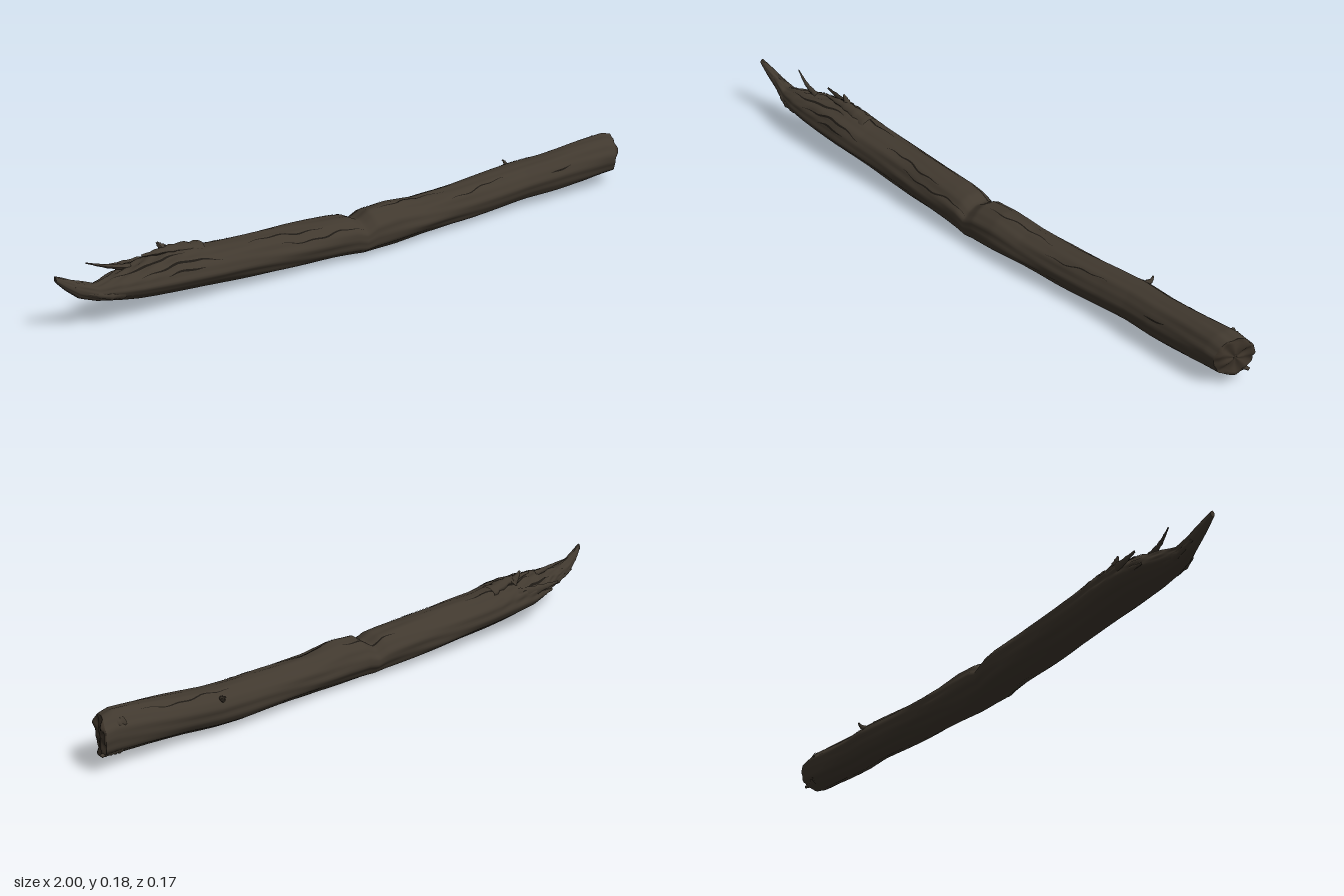
import * as THREE from 'three';

const bark = new THREE.MeshStandardMaterial({ color: 0x41392f });
bark.name = 'dark brown bark';
const endWood = new THREE.MeshStandardMaterial({ color: 0x3c3329 });
endWood.name = 'weathered end wood';
const crevice = new THREE.MeshStandardMaterial({ color: 0x1d1914, side: THREE.DoubleSide });
crevice.name = 'deep crevice';

const SIDES = 56;

// Stations along the log: x, bottom y, top y, back z, front z
const stations = [
  [-1.0, 0.168, 0.186, 0.0, 0.014],
  [-0.97, 0.135, 0.17, -0.01, 0.016],
  [-0.93, 0.1, 0.15, -0.018, 0.018],
  [-0.88, 0.083, 0.132, -0.022, 0.034],
  [-0.82, 0.072, 0.143, -0.042, 0.052],
  [-0.76, 0.061, 0.15, -0.066, 0.06],
  [-0.7, 0.053, 0.155, -0.08, 0.063],
  [-0.6, 0.043, 0.157, -0.083, 0.066],
  [-0.5, 0.035, 0.146, -0.08, 0.065],
  [-0.3, 0.021, 0.14, -0.073, 0.066],
  [-0.1, 0.013, 0.133, -0.065, 0.075],
  [-0.05, 0.011, 0.128, -0.061, 0.079],
  [-0.015, 0.009, 0.11, -0.057, 0.081],
  [0.02, 0.009, 0.131, -0.055, 0.082],
  [0.1, 0.01, 0.137, -0.052, 0.084],
  [0.2, 0.016, 0.125, -0.052, 0.08],
  [0.35, 0.016, 0.128, -0.053, 0.072],
  [0.5, 0.018, 0.134, -0.057, 0.064],
  [0.6, 0.024, 0.139, -0.059, 0.065],
  [0.7, 0.029, 0.146, -0.047, 0.074],
  [0.85, 0.036, 0.16, -0.038, 0.077],
  [0.93, 0.04, 0.166, -0.036, 0.077],
  [0.965, 0.041, 0.158, -0.034, 0.075],
];

function section(x) {
  let i = 0;
  while (i < stations.length - 2 && x > stations[i + 1][0]) i++;
  const a = stations[i], b = stations[i + 1];
  const t = THREE.MathUtils.clamp((x - a[0]) / (b[0] - a[0]), 0, 1);
  return a.map((v, k) => THREE.MathUtils.lerp(v, b[k], t));
}

// Bark ridges run along the log; the broken end is rougher on top
function roughness(x, a) {
  const ragged = THREE.MathUtils.smoothstep(-x, 0.45, 0.75) * Math.max(0, Math.cos(a + 0.3));
  const ridges = 0.022 * Math.sin(7 * a + 5 * x + 1.5 * Math.sin(4 * x))
    + 0.016 * Math.sin(13 * a - 9 * x + Math.sin(11 * x))
    + 0.014 * Math.sin(3 * a + 17 * x);
  const tears = 0.08 * Math.sin(9 * a + 31 * x) * Math.sin(53 * x + 2 * a);
  return 1 + ridges + ragged * tears;
}

// Point on the log; angle 0 is the top and a quarter turn is the front
function surface(x, a, shrink = 1, lift = 0) {
  const [, y0, y1, z0, z1] = section(x);
  const r = shrink * roughness(x, a);
  const c = Math.cos(a), s = Math.sin(a);
  const y = (y0 + y1) / 2 + c * ((y1 - y0) / 2 * r + lift);
  const dz = s * ((z1 - z0) / 2 * r + lift);
  const slant = THREE.MathUtils.smoothstep(x, 0.8, 0.965);
  return new THREE.Vector3(x - slant * dz * 0.45, y, (z0 + z1) / 2 + dz);
}

const ring = (fn) => Array.from({ length: SIDES }, (_, j) => fn(j / SIDES * Math.PI * 2));

// Joins rings of equal size, ordered along +x, into one smooth skin
function loft(rings) {
  const n = rings[0].length, index = [];
  for (let i = 0; i < rings.length - 1; i++) {
    for (let j = 0; j < n; j++) {
      const k = (j + 1) % n, a = i * n, b = a + n;
      index.push(a + j, a + k, b + j, a + k, b + k, b + j);
    }
  }
  const geo = new THREE.BufferGeometry().setFromPoints(rings.flat());
  geo.setIndex(index);
  geo.computeVertexNormals();
  return geo;
}

// Tapered, bent sliver of wood following a few points
function sliver(points, radius, flat = 1) {
  const curve = new THREE.CatmullRomCurve3(points.map(p => new THREE.Vector3(...p)));
  const steps = 12, sides = 9;
  const geo = new THREE.TubeGeometry(curve, steps, 1, sides);
  const pos = geo.attributes.position, v = new THREE.Vector3();
  for (let i = 0; i <= steps; i++) {
    const c = curve.getPointAt(i / steps);
    const r = radius * (1 - 0.85 * (i / steps)) * (1 + 0.15 * Math.sin(i * 2.3));
    for (let j = 0; j <= sides; j++) {
      const k = i * (sides + 1) + j;
      v.fromBufferAttribute(pos, k).sub(c).multiplyScalar(r);
      v.z *= flat;
      v.add(c);
      pos.setXYZ(k, v.x, v.y, v.z);
    }
  }
  geo.computeVertexNormals();
  return geo;
}

// Narrow dark strip lying on the bark
function crack(x0, x1, angle, width) {
  const pts = [], index = [], n = 24;
  for (let i = 0; i <= n; i++) {
    const t = i / n, x = x0 + (x1 - x0) * t;
    const a = angle + 0.09 * Math.sin(x * 23) + 0.04 * Math.sin(x * 71);
    const w = width * Math.sin(Math.PI * t) + 0.004;
    pts.push(surface(x, a - w, 1, 0.0015), surface(x, a + w, 1, 0.0015));
    if (i < n) index.push(2 * i, 2 * i + 1, 2 * i + 2, 2 * i + 1, 2 * i + 3, 2 * i + 2);
  }
  const geo = new THREE.BufferGeometry().setFromPoints(pts);
  geo.setIndex(index);
  geo.computeVertexNormals();
  return geo;
}

export function createModel() {
  const group = new THREE.Group();
  const add = (name, geo, mat) => {
    const mesh = new THREE.Mesh(geo, mat);
    mesh.name = name;
    group.add(mesh);
  };

  // Main trunk
  const trunk = [];
  for (let i = 0; i <= 260; i++) {
    const x = -1 + 1.965 * i / 260;
    trunk.push(ring(a => surface(x, a)));
  }
  add('trunk', loft(trunk), bark);

  // Uneven sawn end, and the closed tip at the broken end
  const cap = [1, 0.94, 0.8, 0.6, 0.4, 0.2, 0.001].map((s, i) => ring(a => {
    const p = surface(0.965, a, s);
    p.x += i === 0 ? 0 : s * (0.006 * Math.sin(3 * a + 5 * s) + 0.004 * Math.sin(7 * a)) + 0.004;
    return p;
  }));
  add('sawnEnd', loft(cap), endWood);
  add('brokenTip', loft([ring(a => surface(-1, a, 0.001)), ring(a => surface(-1, a))]), endWood);

  // Torn slivers at the broken end, a chip at the sawn end and a small twig stub
  const slivers = [
    ['tipSplinter', [[-0.9, 0.12, 0.0], [-0.95, 0.145, 0.005], [-0.985, 0.168, 0.0]], 0.018],
    ['longSplinter', [[-0.76, 0.145, -0.012], [-0.82, 0.158, -0.022], [-0.88, 0.176, -0.042]], 0.01],
    ['frontSplinter', [[-0.78, 0.1, 0.03], [-0.85, 0.1, 0.035], [-0.91, 0.115, 0.022]], 0.022],
    ['lowSplinter', [[-0.8, 0.1, -0.015], [-0.87, 0.1, -0.012], [-0.94, 0.12, -0.014]], 0.022],
    ['backFlap', [[-0.62, 0.118, -0.062], [-0.71, 0.123, -0.074], [-0.79, 0.13, -0.084]], 0.024, 0.5],
    ['backLowFlap', [[-0.65, 0.095, -0.06], [-0.73, 0.098, -0.066], [-0.79, 0.1, -0.062]], 0.022, 0.6],
    ['topHump', [[-0.53, 0.14, -0.02], [-0.61, 0.158, -0.022], [-0.72, 0.163, -0.02]], 0.02, 1.5],
    ['topShard', [[-0.63, 0.15, -0.03], [-0.65, 0.172, -0.035], [-0.66, 0.185, -0.036]], 0.018],
    ['endChip', [[0.93, 0.065, 0.0], [0.965, 0.06, -0.005], [0.995, 0.055, -0.012]], 0.02, 1.4],
    ['endTopChip', [[0.92, 0.135, -0.008], [0.955, 0.13, -0.015], [0.985, 0.125, -0.022]], 0.02, 1.2],
    ['twigStub', [[0.59, 0.11, -0.04], [0.6, 0.122, -0.056], [0.597, 0.13, -0.067]], 0.012],
  ];
  for (const [name, pts, r, flat] of slivers) add(name, sliver(pts, r, flat), bark);

  // Cracks: start x, end x, angle round the log, half width in radians
  const cracks = [
    [-0.84, -0.6, 0.35, 0.06], [-0.76, -0.5, 0.85, 0.05], [-0.72, -0.42, -0.35, 0.05],
    [-0.8, -0.62, -0.9, 0.07], [-0.68, -0.56, 1.25, 0.05], [-0.4, -0.15, 0.5, 0.035],
    [-0.3, -0.02, 0.95, 0.035], [-0.1, 0.1, -0.5, 0.04], [0.05, 0.3, 0.15, 0.03],
    [0.3, 0.52, 0.7, 0.025], [0.68, 0.76, 1.2, 0.04], [0.55, 0.85, -0.6, 0.03],
  ];
  cracks.forEach(([x0, x1, a, w], i) => add('crack' + (i + 1), crack(x0, x1, a, w), crevice));

  return group;
}
